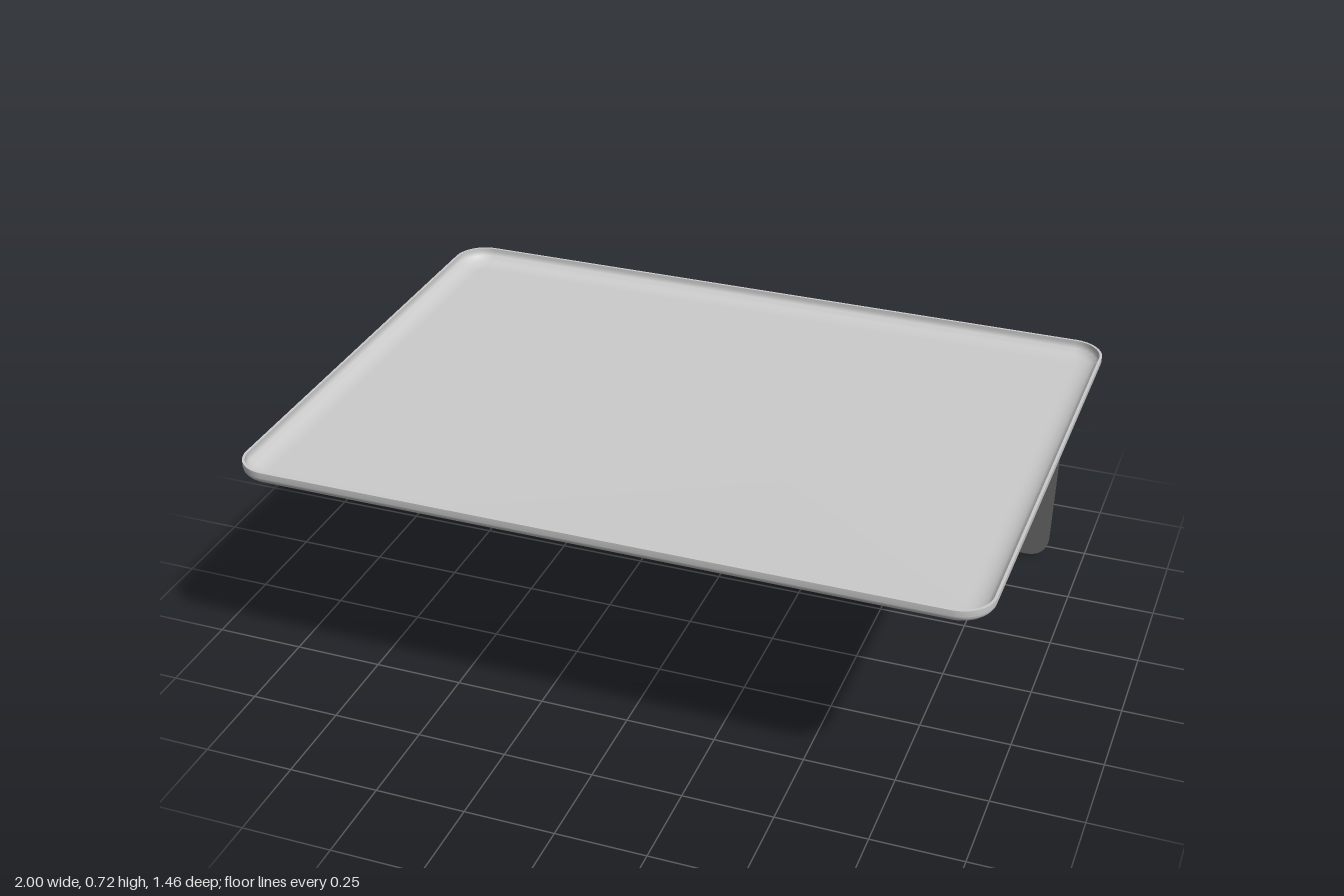
import * as THREE from 'three';
import { toCreasedNormals } from 'three/addons/utils/BufferGeometryUtils.js';

const HALF_X = 1, HALF_Z = 0.73, TOP = 0.72, BOTTOM = 0.672, CORNER = 0.09, WALL = 0.007;
const CORNER_STEPS = 10, BEND_STEPS = 8;

// Rounded rectangle loop, inset from the outer edge, at height y
function ring(inset, y) {
  const r = CORNER - inset, pts = [];
  for (let c = 0; c < 4; c++) {
    const sx = c === 0 || c === 3 ? 1 : -1, sz = c < 2 ? 1 : -1;
    for (let i = 0; i <= CORNER_STEPS; i++) {
      const a = (c + i / CORNER_STEPS) * Math.PI / 2;
      pts.push([sx * (HALF_X - CORNER) + r * Math.cos(a), y, sz * (HALF_Z - CORNER) + r * Math.sin(a)]);
    }
  }
  return pts;
}

// Thin shell: underside, bend, outer wall, rim, inner wall, bend, floor
function trayGeometry() {
  const bend = (inset, floor) => {
    const out = [[0.075, floor]];
    for (let i = 0; i <= BEND_STEPS; i++) {
      const a = i / BEND_STEPS * Math.PI / 2;
      out.push([inset + (0.068 - inset) * (1 - Math.sin(a)), floor + 0.032 * (1 - Math.cos(a))]);
    }
    out.push([inset, TOP]);
    return out;
  };
  const profile = [...bend(0, BOTTOM), ...bend(WALL, BOTTOM + WALL).reverse()];
  const loops = profile.map(([inset, y]) => ring(inset, y));
  const n = loops[0].length, last = (loops.length - 1) * n;
  const positions = loops.flat(2), index = [];
  for (let k = 0; k < loops.length - 1; k++) {
    for (let i = 0; i < n; i++) {
      const a = k * n + i, b = k * n + (i + 1) % n;
      index.push(a, a + n, b, b, a + n, b + n);
    }
  }
  // Flat caps closing the underside and the floor
  const under = positions.length / 3;
  positions.push(0, BOTTOM, 0, 0, BOTTOM + WALL, 0);
  for (let i = 0; i < n; i++) {
    const j = (i + 1) % n;
    index.push(under, i, j, under + 1, last + j, last + i);
  }
  const geo = new THREE.BufferGeometry();
  geo.setAttribute('position', new THREE.Float32BufferAttribute(positions, 3));
  geo.setIndex(index);
  return toCreasedNormals(geo, Math.PI / 5);
}

// Slightly tapered sheet with rounded lower corners
function panelGeometry() {
  const top = 0.912, low = 0.898, r = 0.065, depth = 0.005;
  const s = new THREE.Shape();
  s.moveTo(-top, BOTTOM + 0.003);
  s.lineTo(-low, r);
  s.bezierCurveTo(-low + 0.002, r * 0.4, -low + r * 0.4, 0, -low + r, 0);
  s.lineTo(low - r, 0);
  s.bezierCurveTo(low - r * 0.4, 0, low - 0.002, r * 0.4, low, r);
  s.lineTo(top, BOTTOM + 0.003);
  s.closePath();
  const geo = new THREE.ExtrudeGeometry(s, { depth, bevelEnabled: false, curveSegments: 10 });
  geo.translate(0, 0, -0.692 - depth / 2);
  return toCreasedNormals(geo, Math.PI / 5);
}

export function createModel() {
  const group = new THREE.Group();
  group.name = 'trayTable';
  const add = (name, geometry, color) => {
    const mesh = new THREE.Mesh(geometry, new THREE.MeshStandardMaterial({ color }));
    mesh.name = name;
    group.add(mesh);
  };
  add('trayTop', trayGeometry(), 0xcccccc);
  add('backPanel', panelGeometry(), 0x666666);
  return group;
}
